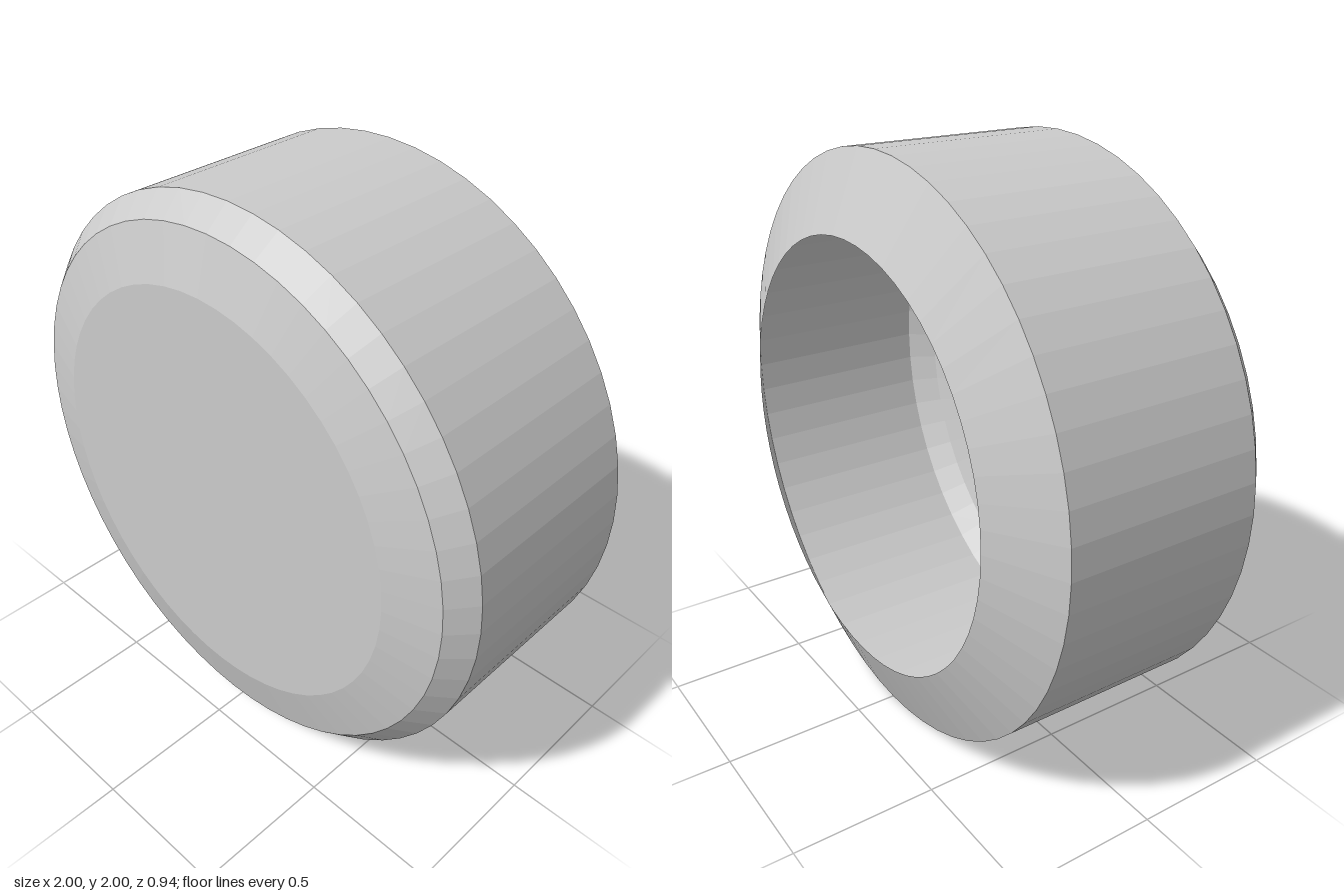
import * as THREE from 'three';

const SEGMENTS = 60;

export function createModel() {
  const model = new THREE.Group();
  model.name = 'hollowCap';
  const material = new THREE.MeshStandardMaterial({
    color: 0xcccccc, flatShading: true, side: THREE.DoubleSide,
  });

  // Thin faceted bands, each given as [radius, z] pairs from back to front
  const bands = {
    backRim: [[0.74, -0.47], [1, -0.355]],
    sideWall: [[1, -0.355], [1, 0.34]],
    frontChamfer: [[1, 0.34], [0.926, 0.422]],
    frontSlope: [[0.926, 0.422], [0.74, 0.47]],
  };
  for (const [name, profile] of Object.entries(bands)) {
    const points = profile.map(([r, z]) => new THREE.Vector2(r, z));
    const geometry = new THREE.LatheGeometry(points, SEGMENTS);
    geometry.rotateX(Math.PI / 2); // lathe axis onto z
    const band = new THREE.Mesh(geometry, material);
    band.name = name;
    band.position.y = 1;
    model.add(band);
  }

  // Flat front disc; the back stays open
  const disc = new THREE.Mesh(new THREE.CircleGeometry(0.74, SEGMENTS), material);
  disc.name = 'frontDisc';
  disc.position.set(0, 1, 0.47);
  model.add(disc);

  return model;
}
